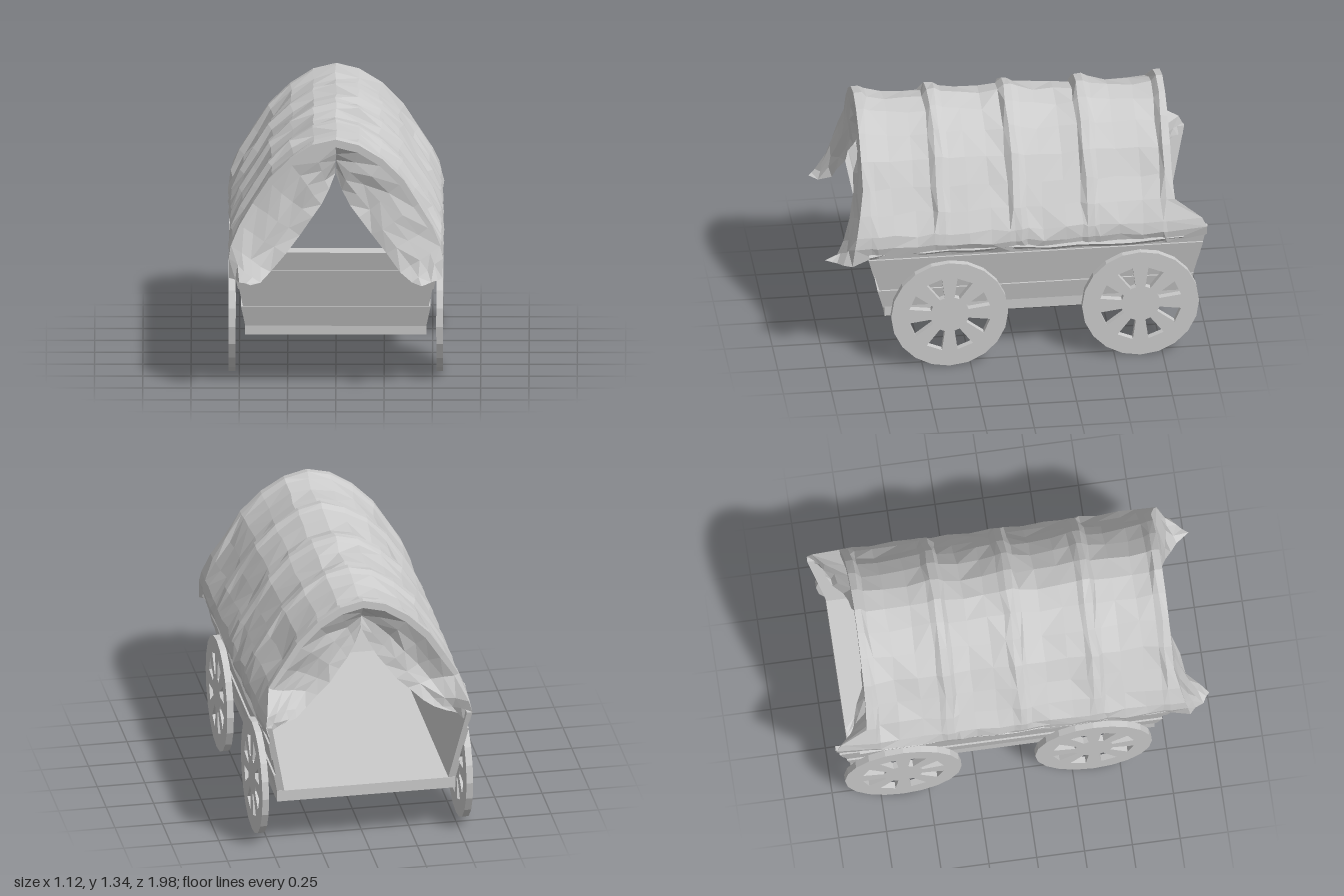
import * as THREE from 'three';

const grey = new THREE.MeshStandardMaterial({ color: 0xcccccc, flatShading: true });
const cloth = new THREE.MeshStandardMaterial({ color: 0xcccccc, flatShading: true, side: THREE.DoubleSide });
const { lerp, smoothstep } = THREE.MathUtils;
const V = (x, y, z) => new THREE.Vector3(x, y, z);

// repeatable wrinkle value in -1..1
const noise = (a, b) => {
  const s = Math.sin(a * 127.1 + b * 311.7) * 43758.5453;
  return (s - Math.floor(s)) * 2 - 1;
};

function add(parent, name, geometry, material = grey) {
  const mesh = new THREE.Mesh(geometry, material);
  mesh.name = name;
  parent.add(mesh);
  return mesh;
}

// faceted sheet through rows of points, with alternating diagonals
function sheet(rows) {
  const pos = [];
  const push = (...pts) => pts.forEach(p => pos.push(p.x, p.y, p.z));
  for (let i = 0; i < rows.length - 1; i++) {
    for (let j = 0; j < rows[i].length - 1; j++) {
      const a = rows[i][j], b = rows[i + 1][j], c = rows[i + 1][j + 1], d = rows[i][j + 1];
      if (noise(i, j) > 0) push(a, b, c, a, c, d);
      else push(a, b, d, b, c, d);
    }
  }
  const g = new THREE.BufferGeometry();
  g.setAttribute('position', new THREE.Float32BufferAttribute(pos, 3));
  g.computeVertexNormals();
  return g;
}

// flared body: half width, front and back as functions of height
const halfWidth = y => 0.455 + (y - 0.32) * 0.2;
const frontZ = y => 0.685 + (y - 0.32) * 0.27;
const backZ = y => -0.895 - (y - 0.32) * 0.22;

// box whose corners are placed by a rule
function mappedBox(rule) {
  const g = new THREE.BoxGeometry(1, 1, 1);
  const p = g.attributes.position;
  for (let i = 0; i < p.count; i++) {
    const v = rule(p.getX(i) + 0.5, p.getY(i) + 0.5, p.getZ(i) + 0.5);
    p.setXYZ(i, v.x, v.y, v.z);
  }
  g.computeVertexNormals();
  return g;
}

function buildBody(root) {
  const body = new THREE.Group();
  body.name = 'wagonBody';
  root.add(body);
  add(body, 'floor', new THREE.BoxGeometry(0.94, 0.06, 1.59)).position.set(0, 0.3, -0.105);
  const levels = [0.32, 0.43, 0.53, 0.635, 0.735];
  for (let k = 0; k < 4; k++) {
    const out = [0.014, 0.004, 0.01, 0][k];
    const yAt = t => lerp(levels[k], levels[k + 1], t);
    for (const s of [1, -1]) {
      add(body, s > 0 ? 'leftPlank' : 'rightPlank', mappedBox((u, v, w) => {
        const y = yAt(v), outer = s > 0 ? u : 1 - u;
        return V(s * (halfWidth(y) + lerp(-0.025, out, outer)), y, lerp(backZ(y), frontZ(y), w));
      }));
    }
    add(body, 'frontPlank', mappedBox((u, v, w) => {
      const y = yAt(v);
      return V((u * 2 - 1) * (halfWidth(y) + out), y, frontZ(y) + lerp(-0.025, out, w));
    }));
  }
}

// wheel disc with eight tapered openings
function wheelGeometry() {
  const ring = (r, n) => Array.from({ length: n }, (_, i) =>
    new THREE.Vector2(r * Math.cos(i / n * Math.PI * 2), r * Math.sin(i / n * Math.PI * 2)));
  const shape = new THREE.Shape(ring(0.305, 20));
  for (let i = 0; i < 8; i++) {
    const corners = [[0.1, -0.014], [0.21, -0.043], [0.21, 0.043], [0.1, 0.014]];
    const angle = (i + 0.5) * Math.PI / 4;
    shape.holes.push(new THREE.Path(corners.map(([x, y]) =>
      new THREE.Vector2(x, y).rotateAround(new THREE.Vector2(), angle))));
  }
  return new THREE.ExtrudeGeometry(shape, { depth: 0.035, bevelEnabled: false })
    .translate(0, 0, -0.0175).rotateY(Math.PI / 2);
}

// half arch of the canvas, hem to crown
const ARCH = [[0.54, 0.655], [0.555, 0.72], [0.545, 0.78], [0.5, 0.885], [0.43, 1.0],
  [0.35, 1.125], [0.24, 1.235], [0.12, 1.31], [0, 1.34]];

function buildCover(root) {
  const cover = new THREE.Group();
  cover.name = 'canvasCover';
  root.add(cover);

  const full = [...ARCH, ...ARCH.slice(0, -1).reverse().map(([x, y]) => [-x, y])];
  const bows = [0.78, 0.395, 0, -0.38, -0.795];
  // stations along the length: a narrow ridge at each hoop, slack between
  const stations = [];
  bows.forEach((z, i) => {
    if (i > 0) stations.push([z + 0.045, 0.85], [z + 0.018, 0]);
    else stations.push([z + 0.018, 0]);
    stations.push([z - 0.018, 0]);
    if (i < 4) {
      stations.push([z - 0.05, 0.45]);
      for (const t of [0.35, 0.65]) stations.push([lerp(z, bows[i + 1], t), lerp(0.65, 1.15, t)]);
    }
  });
  const last = stations.length - 1;
  const rows = stations.map(([z, slack], i) => full.map(([x, y], j) => {
    const upper = smoothstep(y, 0.74, 0.95);
    const end = i === 0 || i === last;
    const k = 1 - 0.06 * slack * upper;
    const rough = end ? 0.002 : 0.004 + 0.008 * slack;
    const p = V(x * k, 0.65 + (y - 0.65) * k, z);
    p.x += noise(i, j) * rough * 0.7;
    p.y += noise(i + 40, j) * rough;
    if (!end) p.z += noise(i + 80, j) * 0.006;
    // the ends spread out towards the hem
    if (i === 0) p.z += 0.2 * Math.max(0, 1.0 - y);
    if (i === 0 && y < 0.7) {
      p.y -= 0.035;
      p.x *= 1.025;
    }
    if (i === last) {
      p.z -= 0.03 * (1 - upper) + 0.14 * smoothstep(0.87 - y, 0, 0.12);
      if (y < 0.8) {
        p.y += 0.025 * (0.8 - y) / 0.15;
        p.x *= 0.98;
      }
    }
    return p;
  }));
  add(cover, 'canvas', sheet(rows), cloth);

  // curtain: a rim just inside the canvas edge, then cloth to a drawn-back inner edge
  function curtain(name, edge, s, inner, bulge) {
    const curve = new THREE.CatmullRomCurve3(inner.map(([x, y, z]) => V(s * x, y, z)));
    const n = edge.length - 1, steps = 4;
    const grid = edge.map((o, i) => {
      const q = curve.getPoint(s > 0 ? i / n : 1 - i / n);
      const k = 1 - 0.06 * smoothstep(o.y, 0.74, 0.95);
      const rim = V(o.x * k, 0.65 + (o.y - 0.65) * k, o.z);
      const row = [o, rim];
      for (let j = 1; j <= steps; j++) {
        const t = j / steps, p = rim.clone().lerp(q, t);
        p.z += bulge * Math.sin(t * Math.PI) + noise(i + s * 9, j) * 0.012;
        p.x += noise(i + s * 5, j + 20) * 0.005;
        p.y += noise(i + s * 3, j + 50) * 0.005;
        row.push(p);
      }
      return row;
    });
    add(cover, name, sheet(grid), cloth);
  }
  const c = ARCH.length;
  const half = (row, s) => s > 0 ? row.slice(0, c) : row.slice(c - 1);
  const frontInner = [[0.44, 0.605, 0.99], [0.36, 0.625, 0.9], [0.25, 0.76, 0.84],
    [0.13, 0.91, 0.81], [0.055, 1.02, 0.77], [0.004, 1.14, 0.73]];
  const backInner = [[0.42, 0.72, -0.91], [0.33, 0.74, -0.85], [0.23, 0.83, -0.81],
    [0.13, 0.93, -0.79], [0.06, 1.03, -0.77], [0.004, 1.15, -0.75]];
  for (const s of [1, -1]) {
    const side = s > 0 ? 'left' : 'right';
    curtain(side + 'FrontCurtain', half(rows[0], s), s, frontInner, 0.005);
    curtain(side + 'BackCurtain', half(rows[last], s), s, backInner, 0.03);
  }

  // gathered cord roll along each hem
  for (const s of [1, -1]) {
    const pts = Array.from({ length: 13 }, (_, i) =>
      V(s * (0.53 + 0.006 * noise(i, s)), 0.675 + 0.012 * noise(i, s + 7), lerp(0.78, -0.86, i / 12)));
    add(cover, s > 0 ? 'leftHem' : 'rightHem',
      new THREE.TubeGeometry(new THREE.CatmullRomCurve3(pts), 24, 0.02, 5));
  }
}

export function createModel() {
  const root = new THREE.Group();
  root.name = 'coveredWagon';
  buildBody(root);
  const wheel = wheelGeometry();
  for (const s of [1, -1]) {
    for (const z of [0.36, -0.635]) {
      add(root, (s > 0 ? 'left' : 'right') + (z > 0 ? 'FrontWheel' : 'BackWheel'), wheel)
        .position.set(s * 0.5375, 0.305, z);
    }
  }
  buildCover(root);
  return root;
}
